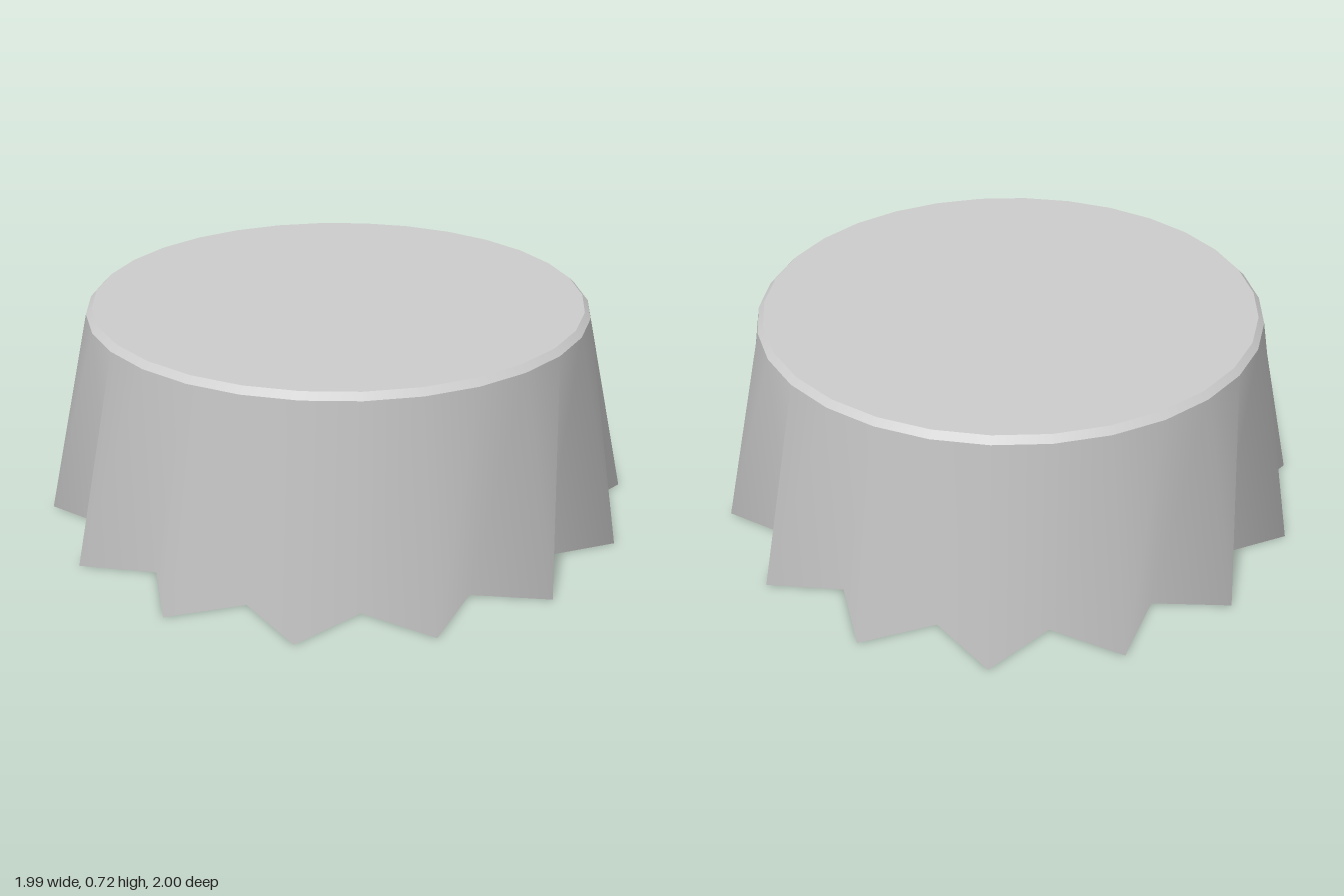
import * as THREE from 'three';

const SIDES = 30, RADIUS = 0.84, HEM = 1.0055, SHOULDER = 0.7, TOP = 0.72;

export function createModel() {
  const group = new THREE.Group();
  const cloth = new THREE.MeshStandardMaterial({ color: 0xcccccc, side: THREE.DoubleSide });
  const wood = new THREE.MeshStandardMaterial({ color: 0xcccccc, flatShading: true });
  const add = (name, geometry, material, x, y, z) => {
    const mesh = new THREE.Mesh(geometry, material);
    mesh.name = name;
    mesh.position.set(x, y, z);
    group.add(mesh);
  };
  const cx = 0.011; // centres the uneven hem

  // Draped skirt: every other vertex of the hem is pulled out into a fold
  const skirt = new THREE.CylinderGeometry(RADIUS, RADIUS, SHOULDER, SIDES, 1, true, Math.PI / 2);
  const pos = skirt.attributes.position;
  for (let i = 0; i <= SIDES; i++) {
    if (i % 2 === 0) continue;
    const v = SIDES + 1 + i; // second row is the hem
    pos.setX(v, pos.getX(v) * HEM / RADIUS);
    pos.setZ(v, pos.getZ(v) * HEM / RADIUS);
  }
  add('clothSkirt', skirt, cloth, cx, SHOULDER / 2, 0);

  // Bevelled rim and flat top of the cloth
  const rim = new THREE.CylinderGeometry(0.82, RADIUS, TOP - SHOULDER, SIDES, 1, true, Math.PI / 2);
  add('clothRim', rim, cloth, cx, (TOP + SHOULDER) / 2, 0);
  const top = new THREE.CircleGeometry(0.82, SIDES).rotateX(-Math.PI / 2);
  add('clothTop', top, cloth, cx, TOP, 0);

  // Four square legs, thicker at the foot
  const leg = new THREE.CylinderGeometry(0.07, 0.11, TOP - 0.005, 4).rotateY(Math.PI / 4);
  for (const sx of [1, -1]) {
    for (const sz of [1, -1]) {
      const name = (sz > 0 ? 'front' : 'back') + (sx > 0 ? 'Left' : 'Right') + 'Leg';
      add(name, leg, wood, cx + sx * 0.6, (TOP - 0.005) / 2, sz * 0.42);
    }
  }
  return group;
}
